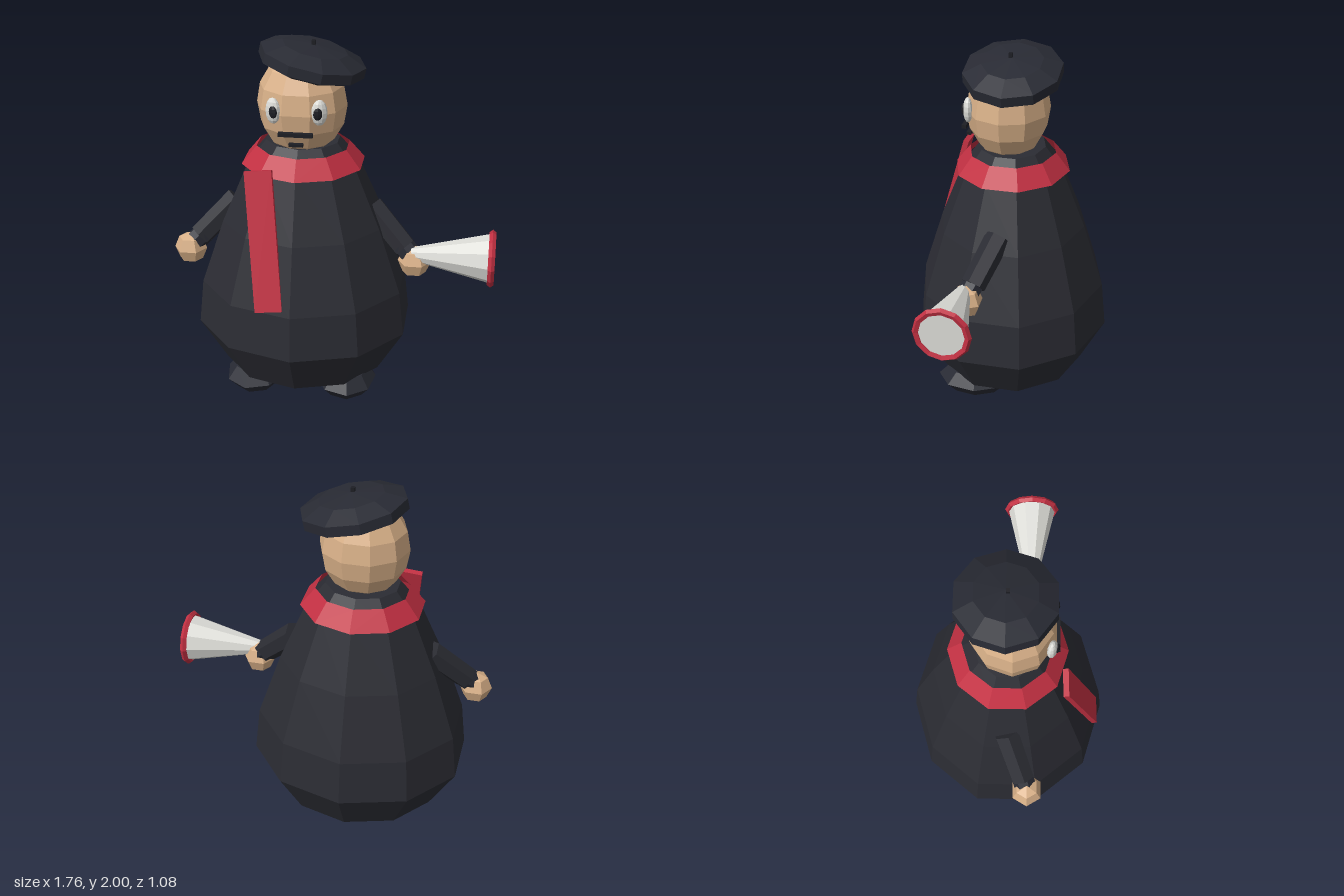
import * as THREE from 'three';

const mat = (name, color, extra = {}) =>
  new THREE.MeshStandardMaterial({ name, color, flatShading: true, ...extra });

export function createModel() {
  const coat = mat('coat black', 0x2b2c33);
  const felt = mat('felt black', 0x282a33);
  const red = mat('scarf red', 0xc23042, { side: THREE.DoubleSide });
  const skin = mat('skin', 0xd8b088);
  const white = mat('off white', 0xdcdcd7, { side: THREE.DoubleSide });
  const ink = mat('ink black', 0x1d1e24);

  const model = new THREE.Group();
  model.name = 'mime';
  // The figure stands left of centre because the megaphone reaches out to the other side
  const figure = new THREE.Group();
  figure.name = 'figure';
  figure.position.x = -0.17;
  model.add(figure);

  const add = (name, geometry, material, x = 0, y = 0, z = 0, parent = figure) => {
    const mesh = new THREE.Mesh(geometry, material);
    mesh.name = name;
    mesh.position.set(x, y, z);
    parent.add(mesh);
    return mesh;
  };
  const box = (w, h, d) => new THREE.BoxGeometry(w, h, d);
  const ball = (rx, ry, rz, w, h) => new THREE.SphereGeometry(1, w, h).scale(rx, ry, rz);
  // Tapered cylinder running between two points
  const limb = (name, a, b, ra, rb, sides, material, open = false) => {
    const from = new THREE.Vector3(...a), to = new THREE.Vector3(...b);
    const dir = to.clone().sub(from);
    const mesh = add(name, new THREE.CylinderGeometry(rb, ra, dir.length(), sides, 1, open), material);
    mesh.position.copy(from).add(to).multiplyScalar(0.5);
    mesh.quaternion.setFromUnitVectors(new THREE.Vector3(0, 1, 0), dir.normalize());
    return mesh;
  };

  // Pear-shaped coat, ten sides, a little flatter front to back
  const profile = [[0, 0.14], [0.45, 0.14], [0.6, 0.39], [0.573, 0.64], [0.448, 1.0],
    [0.3, 1.34], [0.2, 1.46], [0, 1.46]].map(([r, y]) => new THREE.Vector2(r, y));
  add('coat', new THREE.LatheGeometry(profile, 10).scale(1, 1, 0.9), coat);

  // Scarf: flared collar and a hanging end
  const collar = new THREE.CylinderGeometry(0.252, 0.335, 0.1, 10, 1, true).scale(1, 1, 0.94);
  add('scarfCollar', collar, red, 0, 1.38, 0);
  const tail = add('scarfTail', box(0.145, 0.75, 0.03), red, -0.153, 1.02, 0.392);
  tail.rotation.set(-0.255, 0, 0.1);

  // Head and face
  add('head', ball(0.24, 0.275, 0.226, 10, 8), skin, 0, 1.665, 0.025);
  for (const s of [-1, 1]) {
    const eye = new THREE.Group();
    eye.name = s > 0 ? 'leftEye' : 'rightEye';
    eye.position.set(s * 0.12, 1.685, 0.218);
    eye.rotation.y = s * 0.3;
    figure.add(eye);
    add('eyeWhite', ball(0.042, 0.07, 0.026, 10, 8), white, 0, 0, 0, eye);
    add('pupil', ball(0.024, 0.033, 0.012, 8, 6), ink, -s * 0.012, 0, 0.023, eye);
  }
  add('moustache', box(0.18, 0.02, 0.025), ink, 0, 1.57, 0.25);
  add('mouth', box(0.075, 0.015, 0.025), ink, 0, 1.51, 0.238);

  // Tilted beret with stalk
  const beret = add('beret', ball(0.298, 0.09, 0.278, 10, 5), felt, 0.05, 1.888, -0.01);
  beret.rotation.z = -0.215;
  add('beretStalk', box(0.02, 0.06, 0.02), ink, 0.06, 1.97, 0);

  // Mirrored arms, cuffs, hands and feet
  for (const s of [-1, 1]) {
    const side = s > 0 ? 'left' : 'right';
    limb(side + 'Arm', [s * 0.37, 1.08, -0.005], [s * 0.565, 0.885, 0.085], 0.07, 0.066, 6, coat);
    limb(side + 'Cuff', [s * 0.545, 0.9, 0.08], [s * 0.595, 0.855, 0.1], 0.06, 0.06, 7, felt);
    add(side + 'Hand', ball(0.09, 0.09, 0.087, 6, 4), skin, s * 0.617, 0.82, 0.108);
    const foot = add(side + 'Foot', ball(0.17, 0.09, 0.215, 8, 4), felt, s * 0.2525, 0.092, 0.155);
    foot.rotation.y = s * 0.15;
  }

  // Megaphone held in the left hand
  const my = 0.87, mz = 0.125;
  limb('megaphoneHorn', [0.6, my, mz], [1.03, my, mz], 0.035, 0.135, 10, white);
  const rim = add('megaphoneRim', new THREE.TorusGeometry(0.136, 0.019, 5, 12), red, 1.03, my, mz);
  rim.rotation.y = Math.PI / 2;
  const mouthDisc = add('megaphoneMouth', new THREE.CircleGeometry(0.13, 12), white, 1.036, my, mz);
  mouthDisc.rotation.y = Math.PI / 2;

  return model;
}
